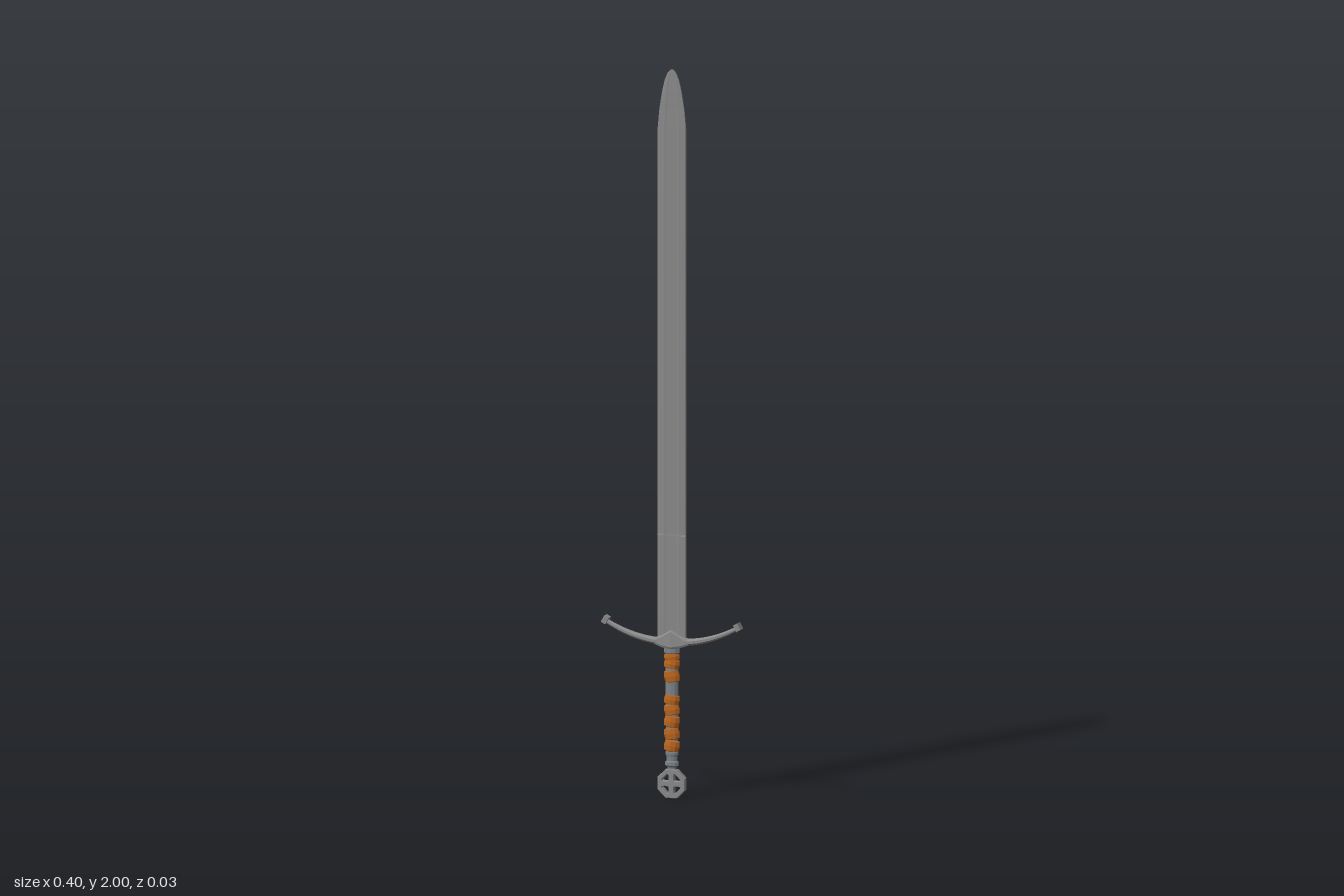
import * as THREE from 'three';

const steel = new THREE.MeshStandardMaterial({ color: 0x8a8a8a, flatShading: true });
const darkSteel = new THREE.MeshStandardMaterial({ color: 0x7c8287, flatShading: true });
const leather = new THREE.MeshStandardMaterial({ color: 0xbc661e, flatShading: true });

// Skins a list of equal-length rings of [x, y, z] points and closes both ends
function loft(rings) {
  const n = rings[0].length, pos = rings.flat(2), idx = [];
  for (let i = 0; i < rings.length - 1; i++) {
    for (let j = 0; j < n; j++) {
      const k = (j + 1) % n, a = i * n + j, b = i * n + k;
      idx.push(a, a + n, b, b, a + n, b + n);
    }
  }
  const end = (rings.length - 1) * n;
  for (let j = 1; j < n - 1; j++) {
    idx.push(0, j, j + 1, end, end + j + 1, end + j);
  }
  const indexed = new THREE.BufferGeometry();
  indexed.setAttribute('position', new THREE.Float32BufferAttribute(pos, 3));
  indexed.setIndex(idx);
  const g = indexed.toNonIndexed();
  g.computeVertexNormals();
  return g;
}

// Blade: slim bevelled edges, a shallow fuller and a blunt section near the guard
function bladeGeometry() {
  const stations = [ // y, half width, edge half thickness, body half thickness
    [0.42, 0.04, 0.0045, 0.0055], [0.72, 0.04, 0.0045, 0.0055], [0.725, 0.04, 0.0025, 0.005],
    [1.84, 0.04, 0.0025, 0.0045], [1.89, 0.0355, 0.0025, 0.004], [1.94, 0.0275, 0.0025, 0.004],
    [1.972, 0.02, 0.002, 0.0035], [1.99, 0.0125, 0.002, 0.003], [2.0, 0.004, 0.002, 0.0025],
  ];
  return loft(stations.map(([y, w, e, t]) => {
    const half = [[w, e], [w * 0.5, t], [w * 0.4, t * 0.8], [-w * 0.4, t * 0.8], [-w * 0.5, t], [-w, e]];
    return [...half, ...half.map(([x, z]) => [-x, -z])].map(([x, z]) => [x, y, z]);
  }));
}

const armY = (x) => 0.428 + 0.05 * Math.pow(Math.abs(x) / 0.19, 2.2);
const armSlope = (x) => Math.atan(0.579 * Math.sign(x) * Math.pow(Math.abs(x) / 0.19, 1.2));

// Crossguard: octagonal bar swept along an upward curve, thinning to the ends
function guardGeometry() {
  const rings = [];
  for (let i = 0; i <= 20; i++) {
    const x = -0.188 + 0.376 * i / 20, f = Math.abs(x) / 0.188, s = armSlope(x);
    const h = 0.010 - 0.004 * f, d = 0.0135 - 0.0075 * f;
    rings.push(Array.from({ length: 8 }, (_, j) => {
      const a = (j + 0.5) * Math.PI / 4, v = Math.sin(a) * h * 1.08;
      return [x - Math.sin(s) * v, armY(x) + Math.cos(s) * v, Math.cos(a) * d * 1.08];
    }));
  }
  return loft(rings);
}

// Guard centre: ridged block rising to a point over the blade
function bossGeometry() {
  const sections = [[-0.048, 0.422, 0.438, 0.0115], [-0.025, 0.414, 0.448, 0.0135], [0, 0.41, 0.463, 0.016],
    [0.025, 0.414, 0.448, 0.0135], [0.048, 0.422, 0.438, 0.0115]];
  return loft(sections.map(([x, lo, hi, d]) =>
    [[hi, d * 0.6], [hi - 0.005, d * 0.9], [lo + 0.006, d], [lo, d * 0.8],
      [lo, -d * 0.8], [lo + 0.006, -d], [hi - 0.005, -d * 0.9], [hi, -d * 0.6]]
      .reverse().map(([y, z]) => [x, y, z])));
}

// Pommel: octagonal wheel pierced by four openings that leave a cross
function pommelGeometry() {
  const shape = new THREE.Shape(Array.from({ length: 8 }, (_, i) => {
    const a = (i + 0.5) * Math.PI / 4;
    return new THREE.Vector2(Math.cos(a) * 0.041, Math.sin(a) * 0.041);
  }));
  const corners = [[0.007, 0.007], [0.018, 0.0055], [0.0275, 0.0075], [0.0275, 0.012],
    [0.012, 0.0275], [0.0075, 0.0275], [0.0055, 0.018]];
  const centre = new THREE.Vector2();
  for (let q = 0; q < 4; q++) {
    shape.holes.push(new THREE.Path(corners.map(([x, y]) =>
      new THREE.Vector2(x, y).rotateAround(centre, q * Math.PI / 2))));
  }
  return new THREE.ExtrudeGeometry(shape, {
    depth: 0.015, bevelEnabled: true, bevelSize: 0.0015, bevelThickness: 0.002, bevelSegments: 1,
  }).translate(0, 0, -0.0075);
}

export function createModel() {
  const group = new THREE.Group();
  const add = (name, geometry, material = steel) => {
    const mesh = new THREE.Mesh(geometry, material);
    mesh.name = name;
    group.add(mesh);
    return mesh;
  };

  add('blade', bladeGeometry());
  add('crossguard', guardGeometry());
  add('guardBoss', bossGeometry());
  for (const side of [-1, 1]) {
    const knob = add(side > 0 ? 'leftGuardKnob' : 'rightGuardKnob', new THREE.BoxGeometry(0.014, 0.02, 0.024));
    knob.position.set(side * 0.1885, 0.48, 0);
    knob.rotation.z = side * 0.5;
  }

  // Grip core with a collar at each end, oval in section
  const core = [[0, 0.075], [0.012, 0.075], [0.013, 0.085], [0.019, 0.09], [0.019, 0.099], [0.015, 0.103],
    [0.016, 0.115], [0.018, 0.12], [0.018, 0.126], [0.016, 0.13], [0.0185, 0.26], [0.0185, 0.395],
    [0.022, 0.4], [0.022, 0.418], [0, 0.418]].map(([r, y]) => new THREE.Vector2(r, y));
  add('gripCore', new THREE.LatheGeometry(core, 10).scale(1, 1, 0.62), darkSteel);

  // Leather wrap: slanted bands with a bare gap above the middle
  const bands = [[0.144, 0.016], [0.177, 0.016], [0.211, 0.016], [0.243, 0.015], [0.271, 0.014],
    [0.335, 0.017], [0.369, 0.013], [0.388, 0.011]];
  bands.forEach(([y, h], i) => {
    const profile = [[0.016, -h], [0.0205, -h * 0.85], [0.0225, 0], [0.0205, h * 0.85], [0.016, h]]
      .map(([r, v]) => new THREE.Vector2(r, v));
    const band = add('gripWrap', new THREE.LatheGeometry(profile, 10).scale(1, 1, 0.62), leather);
    band.position.y = y;
    band.rotation.z = i % 2 ? 0.16 : -0.16;
  });

  add('pommel', pommelGeometry()).position.y = 0.04;
  return group;
}
